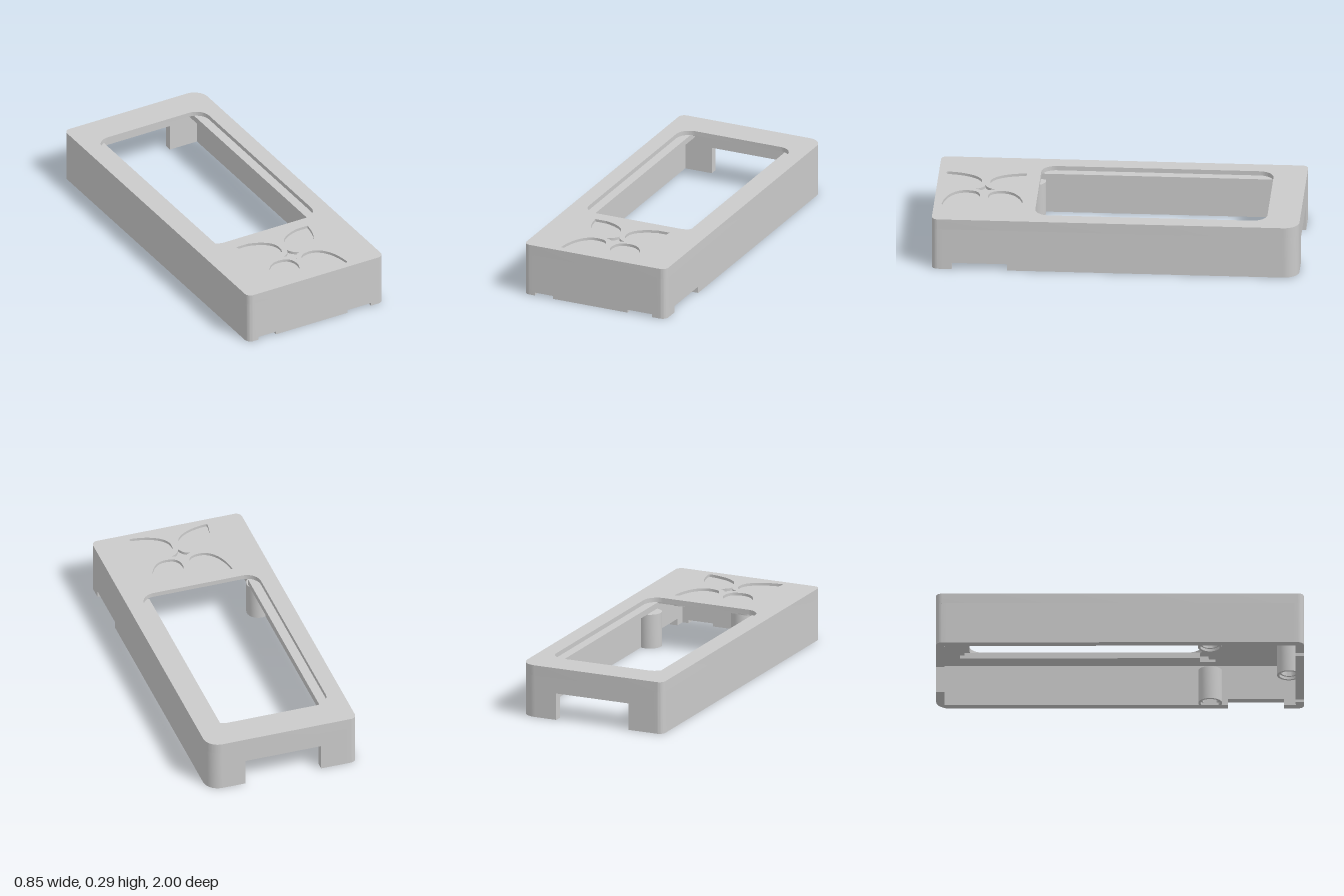
import * as THREE from 'three';
import { toCreasedNormals } from 'three/addons/utils/BufferGeometryUtils.js';

const W = 0.427, L = 1, T = 0.045;            // half width, half length, wall thickness
const WALL_TOP = 0.235, STEP = 0.252, LEDGE_TOP = 0.268, FLOOR = 0.278, TOP = 0.293;
const POST_TOP = 0.192;
const R = 0.035, R_BIG = 0.083;               // corner radii
const RAIL = 0.283, SLOT = 0.335;             // half widths between rails and of the window
const BACK = -0.87, FRONT = 0.52;             // ends of the window recess
const FLOWER_Z = 0.735;

// Rounded rectangle in plan; plan y is -z
function roundedRect(path, x0, x1, y0, y1, r, rTopRight = r) {
  path.moveTo(x0 + r, y0);
  path.lineTo(x1 - r, y0);
  path.absarc(x1 - r, y0 + r, r, -Math.PI / 2, 0, false);
  path.lineTo(x1, y1 - rTopRight);
  path.absarc(x1 - rTopRight, y1 - rTopRight, rTopRight, 0, Math.PI / 2, false);
  path.lineTo(x0 + r, y1);
  path.absarc(x0 + r, y1 - r, r, Math.PI / 2, Math.PI, false);
  path.lineTo(x0, y0 + r);
  path.absarc(x0 + r, y0 + r, r, Math.PI, Math.PI * 1.5, false);
  return path;
}

const polygon = pts => pts.map(([x, y]) => new THREE.Vector2(x, y));
const rectangle = (x, y0, y1) => polygon([[-x, y0], [x, y0], [x, y1], [-x, y1]]);

// One petal of the flower, mirrored by the signs
function petal(sx, sy) {
  const p = new THREE.Shape();
  const m = (...c) => c.map((v, i) => (i % 2 ? sy * v - FLOWER_Z : sx * v));
  p.moveTo(...m(0.212, 0.223));
  p.bezierCurveTo(...m(0.11, 0.215, 0.022, 0.17, 0.022, 0.1));
  p.bezierCurveTo(...m(0.022, 0.045, 0.045, 0.022, 0.1, 0.022));
  p.bezierCurveTo(...m(0.17, 0.022, 0.215, 0.11, 0.223, 0.212));
  p.quadraticCurveTo(...m(0.224, 0.224, 0.212, 0.223));
  return p;
}

// Four-pointed star with hollow sides
function star(r) {
  const p = new THREE.Shape();
  p.moveTo(r, -FLOWER_Z);
  for (const [x, y] of [[0, r], [-r, 0], [0, -r], [r, 0]]) {
    const a = p.currentPoint;
    p.quadraticCurveTo((a.x + x) * 0.22, (a.y + FLOWER_Z + y) * 0.22 - FLOWER_Z, x, y - FLOWER_Z);
  }
  return p;
}

export function createModel() {
  const group = new THREE.Group();
  const grey = new THREE.MeshStandardMaterial({ color: 0xcacaca });
  grey.name = 'plainGrey';

  const add = (name, geometry) => {
    const mesh = new THREE.Mesh(toCreasedNormals(geometry, 0.5), grey);
    mesh.name = name;
    group.add(mesh);
    return mesh;
  };
  const extrude = (shape, depth) =>
    new THREE.ExtrudeGeometry(shape, { depth, bevelEnabled: false, curveSegments: 12 });
  // Horizontal slab from a plan shape
  const slab = (name, shape, y0, y1) =>
    add(name, extrude(shape, y1 - y0).rotateX(-Math.PI / 2).translate(0, y0, 0));
  const box = (name, x0, x1, y0, y1, z0, z1) =>
    add(name, new THREE.BoxGeometry(x1 - x0, y1 - y0, z1 - z0))
      .position.set((x0 + x1) / 2, (y0 + y1) / 2, (z0 + z1) / 2);

  // Top plate, open for the window recess and the engraving
  const engraving = [star(0.052)];
  for (const sx of [-1, 1]) for (const sy of [-1, 1]) engraving.push(petal(sx, sy));
  const plate = roundedRect(new THREE.Shape(), -W, W, -L, L, R, R_BIG);
  plate.holes.push(new THREE.Path(rectangle(SLOT, -FRONT, -BACK)), ...engraving);
  slab('topPlate', plate, WALL_TOP, TOP);
  for (const shape of engraving) slab('engravingFloor', shape, WALL_TOP, FLOOR);

  // Thin lip that rounds off the window
  const lip = new THREE.Shape(rectangle(SLOT, -FRONT, -BACK));
  lip.holes.push(roundedRect(new THREE.Path(), -SLOT + 0.0005, SLOT - 0.0005, -0.445, 0.82, 0.08));
  slab('windowLip', lip, LEDGE_TOP, TOP);

  // Side rails and end steps under the lip
  for (const [name, s] of [['leftRail', 1], ['rightRail', -1]]) {
    const xs = [s * RAIL, s * SLOT].sort((a, b) => a - b);
    box(name, ...xs, WALL_TOP, LEDGE_TOP, BACK, 0.435);
  }
  box('frontStep', -SLOT, SLOT, STEP, LEDGE_TOP, 0.482, FRONT);
  box('backStep', -RAIL, RAIL, STEP, LEDGE_TOP, BACK, -0.845);

  // Wall elevation with notches [start, end, height] cut from its lower edge
  const wall = (from, to, notches) => {
    const pts = [[from, 0]];
    for (const [a, b, h] of notches) pts.push([a, 0], [a, h], [b, h], [b, 0]);
    pts.push([to, 0], [to, WALL_TOP], [from, WALL_TOP]);
    return extrude(new THREE.Shape(polygon(pts)), T);
  };
  const C = 0.06, C_BIG = 0.09;               // corner block sizes
  add('frontWall', wall(-W + C, W - C, [[-0.36, -0.25, 0.017], [0.197, 0.345, 0.017]]))
    .position.z = L - T;
  add('backWall', wall(-W + C, W - C_BIG, [[-0.222, 0.213, 0.15]])).position.z = -L;
  add('leftWall', wall(-L + C_BIG, L - C, [[0.587, 0.89, 0.037]]).rotateY(-Math.PI / 2))
    .position.x = W;
  add('rightWall', wall(-L + C, L - C, []).rotateY(-Math.PI / 2)).position.x = -W + T;

  // Rounded wall corners
  for (const [name, sx, sy, r, c] of [
    ['frontLeftCorner', 1, -1, R, C], ['frontRightCorner', -1, -1, R, C],
    ['backLeftCorner', 1, 1, R_BIG, C_BIG], ['backRightCorner', -1, 1, R, C],
  ]) {
    const pts = [[c, 0], [c, T], [T, T], [T, c], [0, c]];
    for (let i = 0; i <= 12; i++) {
      const a = (i / 12) * Math.PI / 2;
      pts.push([r - r * Math.cos(a), r - r * Math.sin(a)]);
    }
    const shape = new THREE.Shape(polygon(pts.map(([a, b]) => [sx * (W - a), sy * (L - b)])));
    slab(name, shape, 0, WALL_TOP);
  }

  // Screw posts joined to the walls, hollow from below
  const profile = polygon([
    [0, 0.12], [0.042, 0.12], [0.042, 0.015], [0.052, 0.015], [0.052, 0],
    [0.065, 0], [0.065, POST_TOP], [0, POST_TOP],
  ]);
  for (const [name, x, z] of [
    ['frontPost', 0, 0.919], ['leftPost', 0.356, 0.49], ['rightPost', -0.36, 0.49],
  ]) add(name, new THREE.LatheGeometry(profile, 32)).position.set(x, 0, z);

  return group;
}
